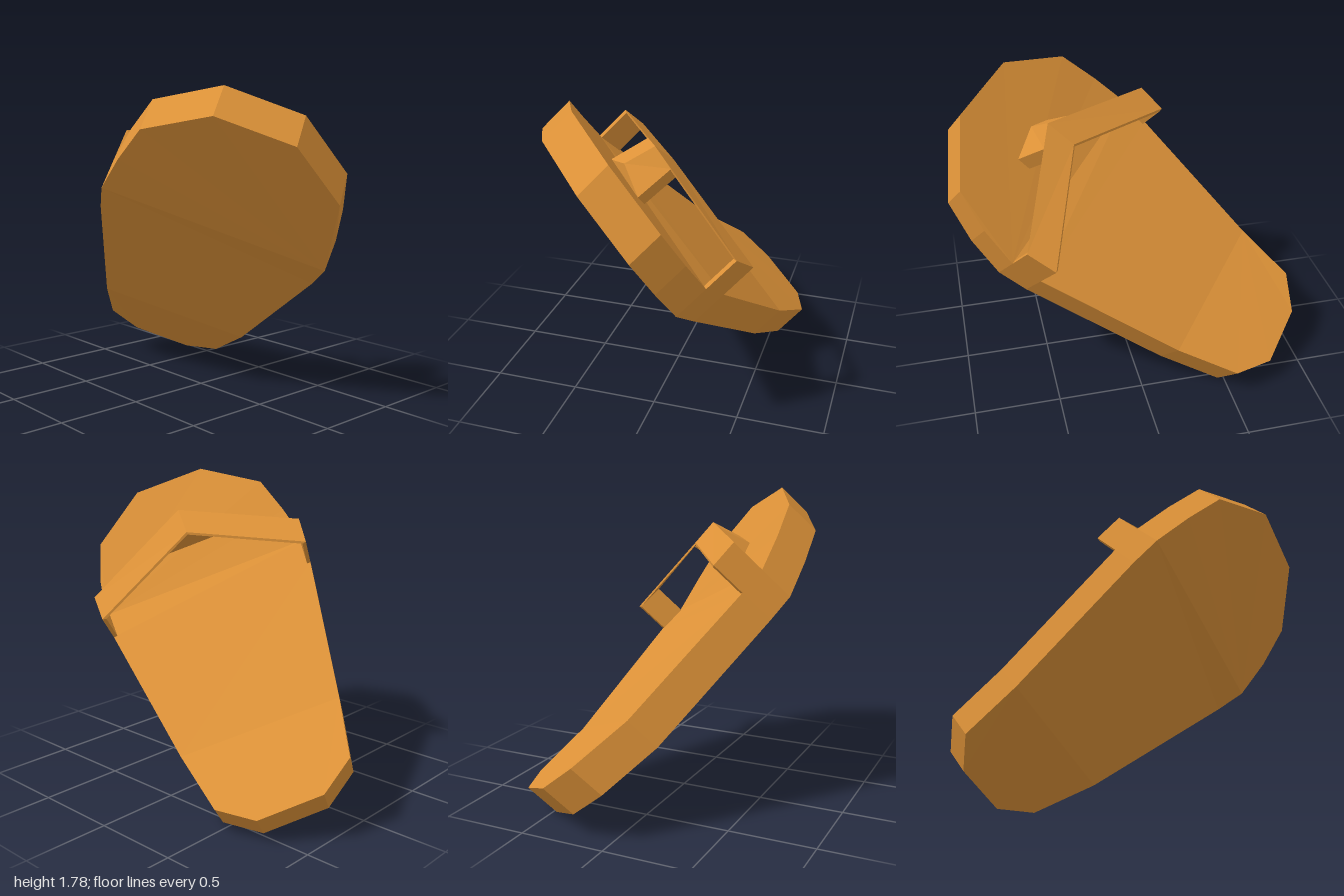
import * as THREE from 'three';

const V = (x, y, z) => new THREE.Vector3(x, y, z);
const material = new THREE.MeshStandardMaterial({ color: 0xdd9238, flatShading: true });

// Closed solid through rings of equal length; panels split each end cap into flat fans
function loft(name, rings, panels) {
  const n = rings[0].length, tris = [];
  panels = panels || [rings[0].map((_, i) => i)];
  for (let r = 0; r < rings.length - 1; r++) {
    for (let i = 0; i < n; i++) {
      const j = (i + 1) % n, a = rings[r], b = rings[r + 1];
      tris.push([a[i], a[j], b[j]], [a[i], b[j], b[i]]);
    }
  }
  const first = rings[0], last = rings[rings.length - 1];
  for (const p of panels) {
    for (let k = 1; k < p.length - 1; k++) {
      tris.push([first[p[0]], first[p[k + 1]], first[p[k]]]);
      tris.push([last[p[0]], last[p[k]], last[p[k + 1]]]);
    }
  }
  // Signed volume tells whether the faces point outward
  const volume = tris.reduce((s, [a, b, c]) => s + a.dot(b.clone().cross(c)), 0);
  if (volume < 0) tris.forEach((t) => t.reverse());
  const geometry = new THREE.BufferGeometry().setFromPoints(tris.flat());
  geometry.computeVertexNormals();
  const mesh = new THREE.Mesh(geometry, material);
  mesh.name = name;
  return mesh;
}

export function createModel() {
  const group = new THREE.Group();
  group.name = 'sandal';
  const rise = V(0.14, 0.15, -0.07); // sole thickness, also the strap's upright sides

  // Sole: tilted outline, slightly bent at the ball and at the heel
  const bottom = [
    V(0.22, 0.78, 0.77), V(0.15, 0.97, 0.9), V(0.055, 1.175, 1), V(-0.22, 1.48, 0.95),
    V(-0.52, 1.63, 0.67), V(-0.69, 1.56, 0.31), V(-0.69, 1.4, 0.12), V(-0.67, 1.235, -0.06),
    V(-0.6, 1.12, -0.17), V(-0.18, 0.5, -0.71), V(0.03, 0.28, -0.94), V(0.22, 0.13, -0.92),
    V(0.48, 0, -0.69), V(0.55, 0.01, -0.46), V(0.46, 0.18, -0.12), V(0.28, 0.68, 0.63),
  ];
  const top = bottom.map((p) => p.clone().add(rise));
  group.add(loft('sole', [bottom, top], [
    [0, 1, 2, 3, 4, 5, 6, 7], [7, 8, 15, 0], [8, 9, 14, 15], [9, 10, 11, 12, 13, 14],
  ]));

  // Strap: thin band over the foot, from one sole edge to the other
  const arch = (from, peak, to) =>
    [from, from.clone().add(rise), peak, to.clone().add(rise), to];
  const peak = V(0, 1.57, 0.42);
  const front = arch(top[0], peak, top[7]);
  const rear = arch(top[15], V(0.06, 1.455, 0.29), top[8]);
  const inset = (path) => {
    const centre = path[0].clone().lerp(path[4], 0.5);
    return path.map((p) => p.clone().lerp(centre, 0.035));
  };
  const frontIn = inset(front), rearIn = inset(rear);
  group.add(loft('strap', front.map((p, i) => [p, rear[i], rearIn[i], frontIn[i]])));

  // Toe post: ridged block from the strap's peak down to the sole
  const back = V(0.015, -0.06, -0.057);
  const section = (left, ridge, right) =>
    [left, ridge, right, right.clone().add(back), left.clone().add(back)];
  group.add(loft('toePost', [
    section(V(-0.26, 1.455, 0.39), V(-0.145, 1.485, 0.495), V(-0.04, 1.345, 0.59)),
    section(V(-0.085, 1.56, 0.285), peak, V(0.1, 1.47, 0.46)),
  ]));
  return group;
}
